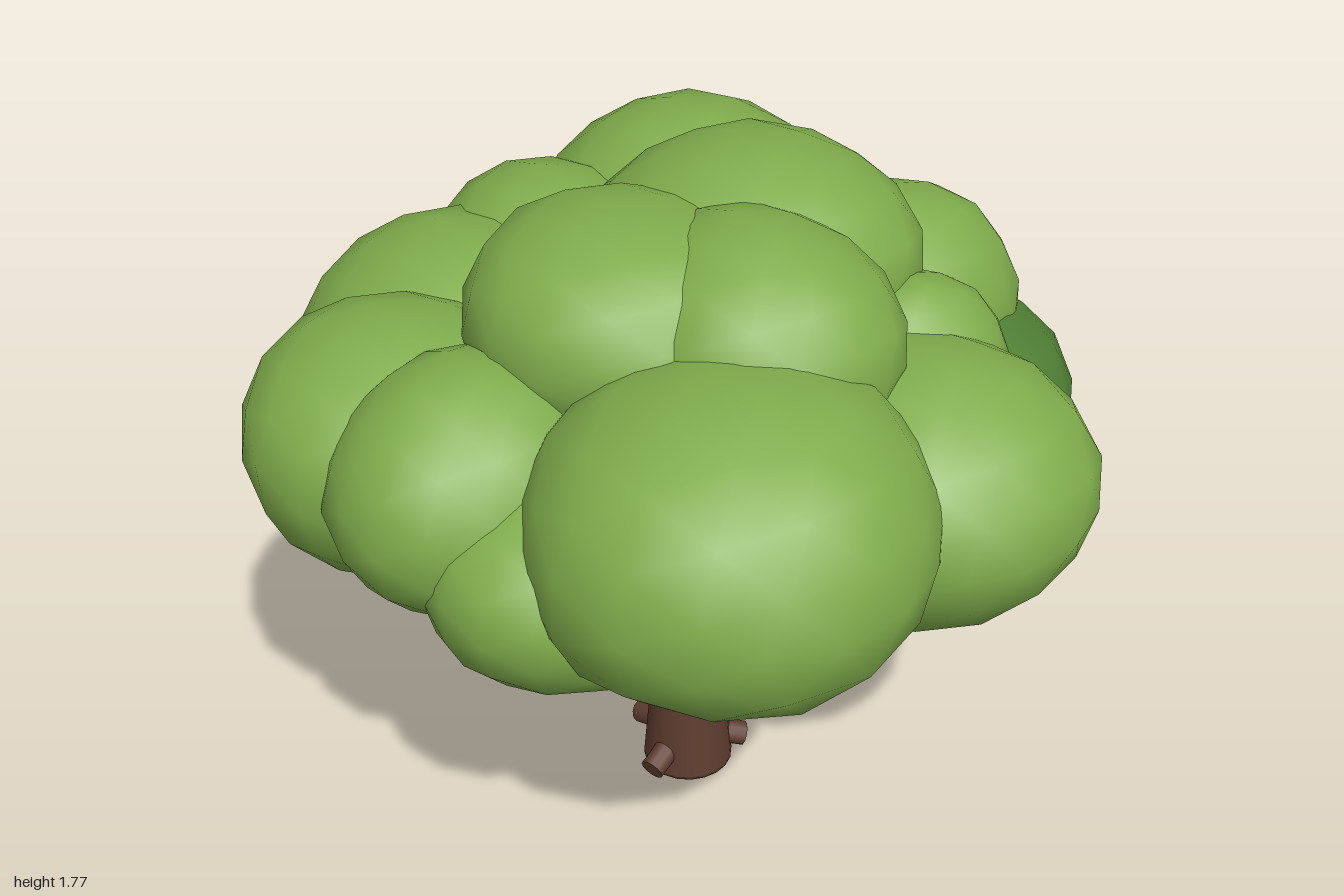
import * as THREE from 'three';
import { mergeVertices } from 'three/addons/utils/BufferGeometryUtils.js';

const mat = (name, color) => new THREE.MeshStandardMaterial({ name, color });

// Leaf clumps: centre x, y, z, then radii x, y, z
const CLUMPS = [
  ['crownBack', -0.02, 1.49, -0.22, 0.41, 0.28, 0.41],
  ['crownFront', 0.02, 1.48, 0.2, 0.39, 0.26, 0.37],
  ['crownSide', 0.27, 1.46, 0.03, 0.36, 0.29, 0.33],
  ['frontLeft', 0.54, 1.22, 0.32, 0.46, 0.36, 0.47],
  ['sideLeft', 0.58, 1.14, -0.22, 0.41, 0.33, 0.4],
  ['backMiddle', 0.09, 1.26, -0.57, 0.32, 0.31, 0.38],
  ['backGap', 0.37, 1.25, -0.38, 0.22, 0.27, 0.26],
  ['backRight', -0.54, 1.26, -0.46, 0.43, 0.36, 0.43],
  ['sideRight', -0.58, 1.2, -0.04, 0.39, 0.35, 0.34],
  ['frontRight', -0.54, 1.14, 0.28, 0.46, 0.35, 0.42],
  ['frontMiddle', -0.29, 1.17, 0.62, 0.39, 0.32, 0.38],
  ['frontUpper', 0.02, 1.2, 0.63, 0.31, 0.3, 0.35],
  ['frontLower', 0.28, 1.08, 0.57, 0.31, 0.25, 0.33],
  ['underside', 0.02, 1.1, 0.04, 0.8, 0.29, 0.74],
  ['backLower', -0.18, 1.07, -0.51, 0.32, 0.27, 0.37],
];

// Slightly lumpy, smooth ellipsoid
function clumpGeometry(rx, ry, rz, seed) {
  let g = new THREE.IcosahedronGeometry(1, 2);
  g.deleteAttribute('uv');
  g.deleteAttribute('normal');
  g = mergeVertices(g, 1e-4);
  const p = g.attributes.position, v = new THREE.Vector3();
  for (let i = 0; i < p.count; i++) {
    v.fromBufferAttribute(p, i);
    const k = 1.01 + 0.02 * Math.sin(4 * v.x + seed) * Math.cos(4 * v.z - seed * 1.7)
      + 0.012 * Math.sin(5 * v.y + seed * 2.3);
    p.setXYZ(i, v.x * k * rx, v.y * k * ry, v.z * k * rz);
  }
  g.computeVertexNormals();
  return g;
}

// Tapered round limb between two points
function limb(name, a, b, r0, r1, material) {
  const from = new THREE.Vector3(...a), to = new THREE.Vector3(...b);
  const dir = to.clone().sub(from);
  const m = new THREE.Mesh(new THREE.CylinderGeometry(r1, r0, dir.length(), 12), material);
  m.name = name;
  m.position.copy(from).add(to).multiplyScalar(0.5);
  m.quaternion.setFromUnitVectors(new THREE.Vector3(0, 1, 0), dir.normalize());
  return m;
}

export function createModel() {
  const tree = new THREE.Group();
  tree.name = 'tree';
  const leaf = mat('leaf green', 0x80ad4c);
  const darkLeaf = mat('dark leaf green', 0x508034);
  const bark = mat('bark brown', 0x5f3d30);

  // Trunk, closed at both ends
  const profile = [[0, 0], [0.122, 0], [0.122, 0.01], [0.106, 0.2], [0.088, 0.4], [0.082, 0.67], [0.06, 0.74], [0, 0.75]];
  const trunk = new THREE.Mesh(
    new THREE.LatheGeometry(profile.map(([x, y]) => new THREE.Vector2(x, y)), 20), bark);
  trunk.name = 'trunk';
  trunk.position.set(-0.002, 0, -0.012);
  tree.add(trunk);

  // Branches reaching into the leaves
  [[-0.24, 0.95, -0.12], [0.25, 0.95, -0.05], [-0.03, 0.95, 0.27]].forEach((end, i) =>
    tree.add(limb('branch' + (i + 1), [end[0] * 0.1, 0.65, end[2] * 0.1], end, 0.055, 0.042, bark)));

  // Root stubs
  [[-0.17, 0.02], [0.04, 0.15], [0.085, -0.14]].forEach(([x, z], i) =>
    tree.add(limb('root' + (i + 1), [x * 0.4, 0.082, z * 0.4], [x, 0.05, z], 0.035, 0.034, bark)));

  // Canopy
  const canopy = new THREE.Group();
  canopy.name = 'canopy';
  const addClump = ([name, x, y, z, rx, ry, rz], seed, material) => {
    const m = new THREE.Mesh(clumpGeometry(rx, ry, rz, seed), material);
    m.name = name + 'Leaves';
    m.position.set(x, y, z);
    canopy.add(m);
  };
  CLUMPS.forEach((c, i) => addClump(c, i * 1.3 + 0.5, leaf));
  addClump(['darkBack', 0.23, 1.04, -0.59, 0.38, 0.29, 0.41], 2.2, darkLeaf);
  tree.add(canopy);
  return tree;
}
